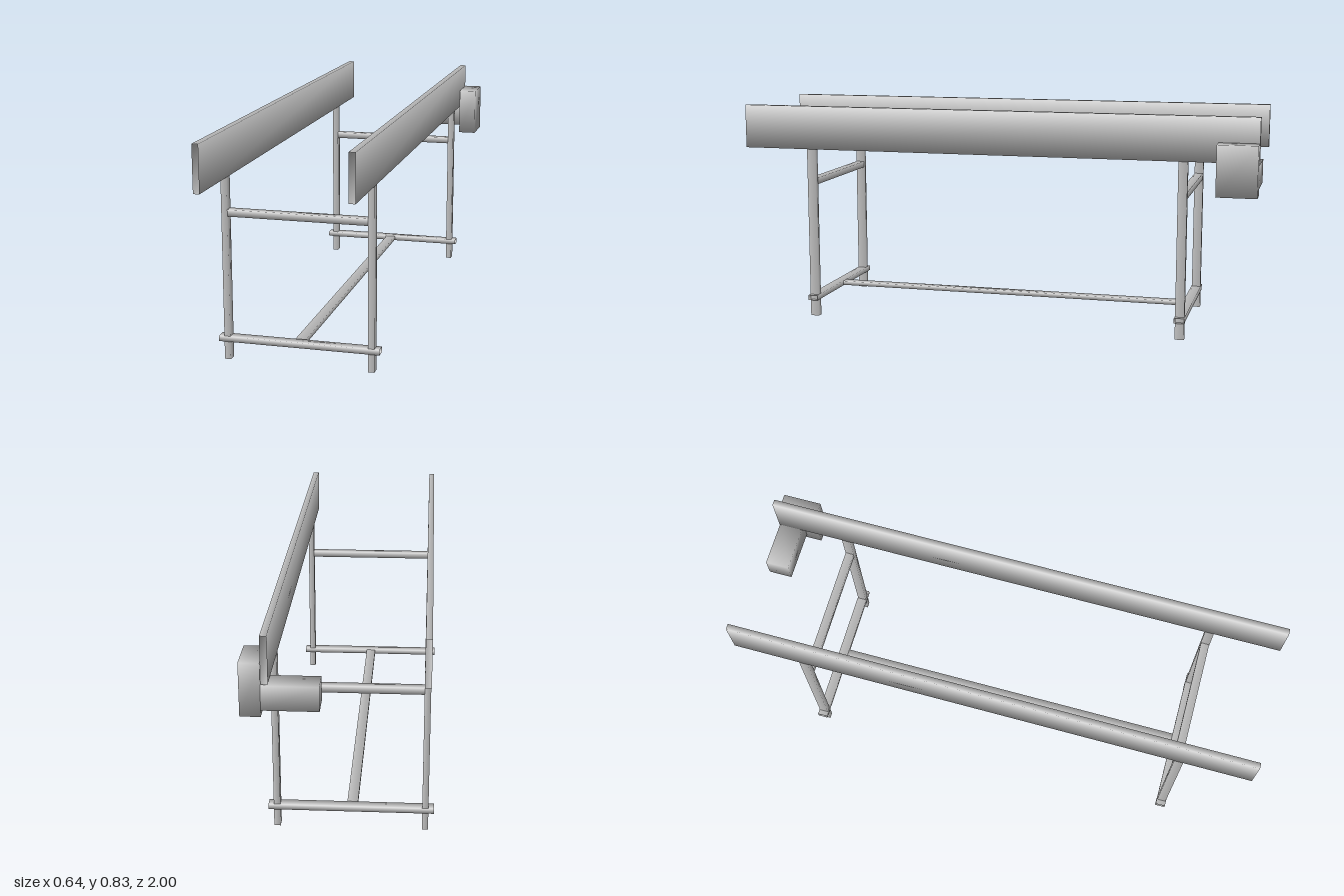
import * as THREE from 'three';

const material = new THREE.MeshStandardMaterial({ color: 0xcccccc, side: THREE.DoubleSide });

// Soft-shaded box between two corners; openAxis (0, 1, 2) leaves both ends on that axis open
function bar(name, min, max, openAxis = -1) {
  const size = max.map((v, i) => v - min[i]);
  const geo = new THREE.BoxGeometry(...size);
  const pos = geo.attributes.position;
  const n = new THREE.Vector3();
  for (let i = 0; i < pos.count; i++) {
    n.set(Math.sign(pos.getX(i)), Math.sign(pos.getY(i)), Math.sign(pos.getZ(i)));
    if (openAxis >= 0) n.setComponent(openAxis, 0);
    n.normalize();
    geo.attributes.normal.setXYZ(i, n.x, n.y, n.z);
  }
  if (openAxis >= 0) {
    const index = Array.from(geo.index.array);
    index.splice(openAxis * 12, 12);
    geo.setIndex(index);
    geo.clearGroups();
  }
  const mesh = new THREE.Mesh(geo, material);
  mesh.name = name;
  mesh.position.set(...min.map((v, i) => v + size[i] / 2));
  return mesh;
}

export function createModel() {
  const model = new THREE.Group();
  model.name = 'conveyorFrame';

  // Long side rails: hollow, open at both ends
  const sides = [['right', -0.302, -0.28], ['left', 0.225, 0.248]];
  for (const [side, x0, x1] of sides) {
    model.add(bar(side + 'Rail', [x0, 0.667, -1], [x1, 0.835, 1], 2));
  }

  // Leg frames at front and back
  for (const [end, z] of [['front', 0.726], ['back', -0.726]]) {
    const frame = new THREE.Group();
    frame.name = end + 'LegFrame';
    for (const [side, x0, x1] of sides) {
      frame.add(bar(side + 'Leg', [x0, 0, z - 0.017], [x1, 0.667, z + 0.017], 1));
    }
    frame.add(bar('upperCrossbar', [-0.28, 0.527, z - 0.016], [0.225, 0.552, z + 0.016], 0));
    frame.add(bar('lowerCrossbar', [-0.322, 0.066, z - 0.019], [0.267, 0.086, z + 0.019], 0));
    model.add(frame);
  }

  // Long stretcher joining the lower crossbars
  model.add(bar('stretcher', [-0.05, 0.068, -0.71], [-0.012, 0.084, 0.71], 2));

  // Drive unit at the back of the left rail
  const drive = new THREE.Group();
  drive.name = 'driveUnit';
  drive.add(bar('gearbox', [0.25, 0.552, -1], [0.32, 0.741, -0.852]));
  drive.add(bar('motor', [0.058, 0.575, -1], [0.25, 0.662, -0.91]));
  model.add(drive);

  return model;
}
